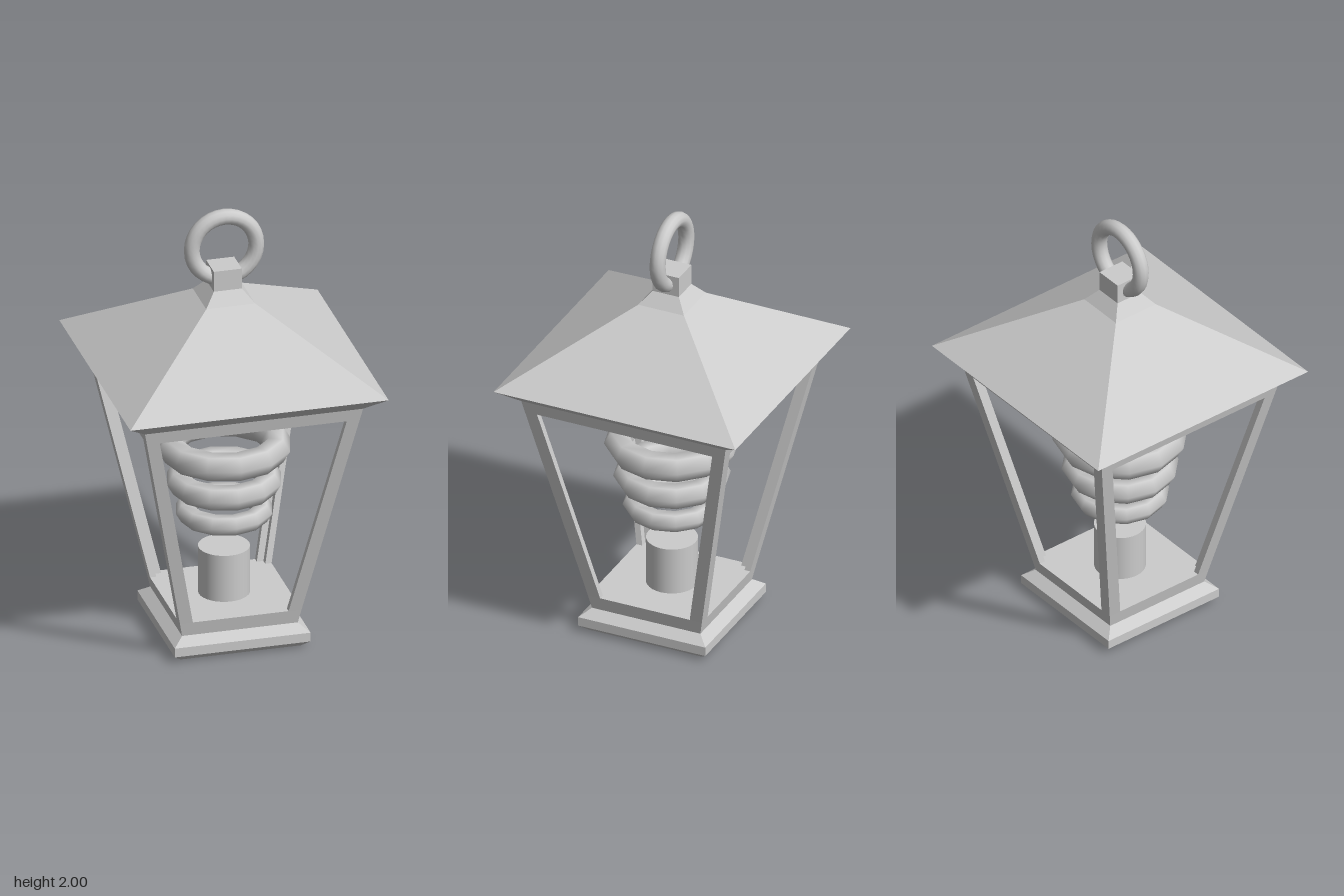
import * as THREE from 'three';

export function createModel() {
  const lantern = new THREE.Group();
  lantern.name = 'lantern';
  const flat = new THREE.MeshStandardMaterial({ color: 0xcccccc, flatShading: true });
  const smooth = new THREE.MeshStandardMaterial({ color: 0xcccccc });

  const add = (name, geometry, material, y = 0) => {
    const mesh = new THREE.Mesh(geometry, material);
    mesh.name = name;
    mesh.position.y = y;
    lantern.add(mesh);
    return mesh;
  };

  // Square solid from a bottom-to-top profile of [half width, height]
  const squareSolid = (profile) => new THREE.LatheGeometry(
    profile.map(([half, y]) => new THREE.Vector2(half * Math.SQRT2, y)), 4, Math.PI / 4);

  // Stepped foot, sill and floor
  add('base', squareSolid([
    [0, 0], [0.27, 0], [0.305, 0.03], [0.305, 0.072], [0.26, 0.107], [0.273, 0.172], [0, 0.172],
  ]), flat);

  // Ceiling, top rail, flared eaves, roof and finial block
  add('roof', squareSolid([
    [0, 1.15], [0.478, 1.15], [0.49, 1.207], [0.58, 1.277], [0.11, 1.585],
    [0.063, 1.642], [0.063, 1.737], [0, 1.737],
  ]), flat);

  // Four leaning corner posts: an L section sheared outward as it rises
  const bottom = 0.172, top = 1.15, half = 0.273, lean = (0.478 - half) / (top - bottom);
  const w = 0.058, t = 0.028;
  const section = new THREE.Shape([
    [0, 0], [-w, 0], [-w, -t], [-t, -t], [-t, -w], [0, -w],
  ].map(([x, y]) => new THREE.Vector2(half + x, half + y)));
  const postGeometry = new THREE.ExtrudeGeometry(section, { depth: top - bottom, bevelEnabled: false });
  postGeometry.rotateX(-Math.PI / 2);
  const p = postGeometry.attributes.position;
  for (let i = 0; i < p.count; i++) {
    const shift = lean * p.getY(i);
    p.setX(i, p.getX(i) + shift);
    p.setZ(i, p.getZ(i) - shift);
  }
  postGeometry.computeVertexNormals();
  for (let i = 0; i < 4; i++) {
    add('cornerPost' + (i + 1), postGeometry, flat, bottom).rotation.y = i * Math.PI / 2;
  }

  // Lamp socket
  add('socket', new THREE.CylinderGeometry(0.113, 0.113, 0.22, 32), smooth, 0.282);

  // Floating lamp rings, growing upward
  [[0.169, 0.046, 0.565], [0.2, 0.056, 0.71], [0.233, 0.063, 0.873]].forEach(([radius, tube, y], i) => {
    const ring = new THREE.TorusGeometry(radius, tube, 6, 12).rotateX(Math.PI / 2);
    add('lampRing' + (i + 1), ring, smooth, y);
  });

  // Hanging ring
  add('hangingRing', new THREE.TorusGeometry(0.145, 0.035, 12, 32), smooth, 1.82);

  return lantern;
}
